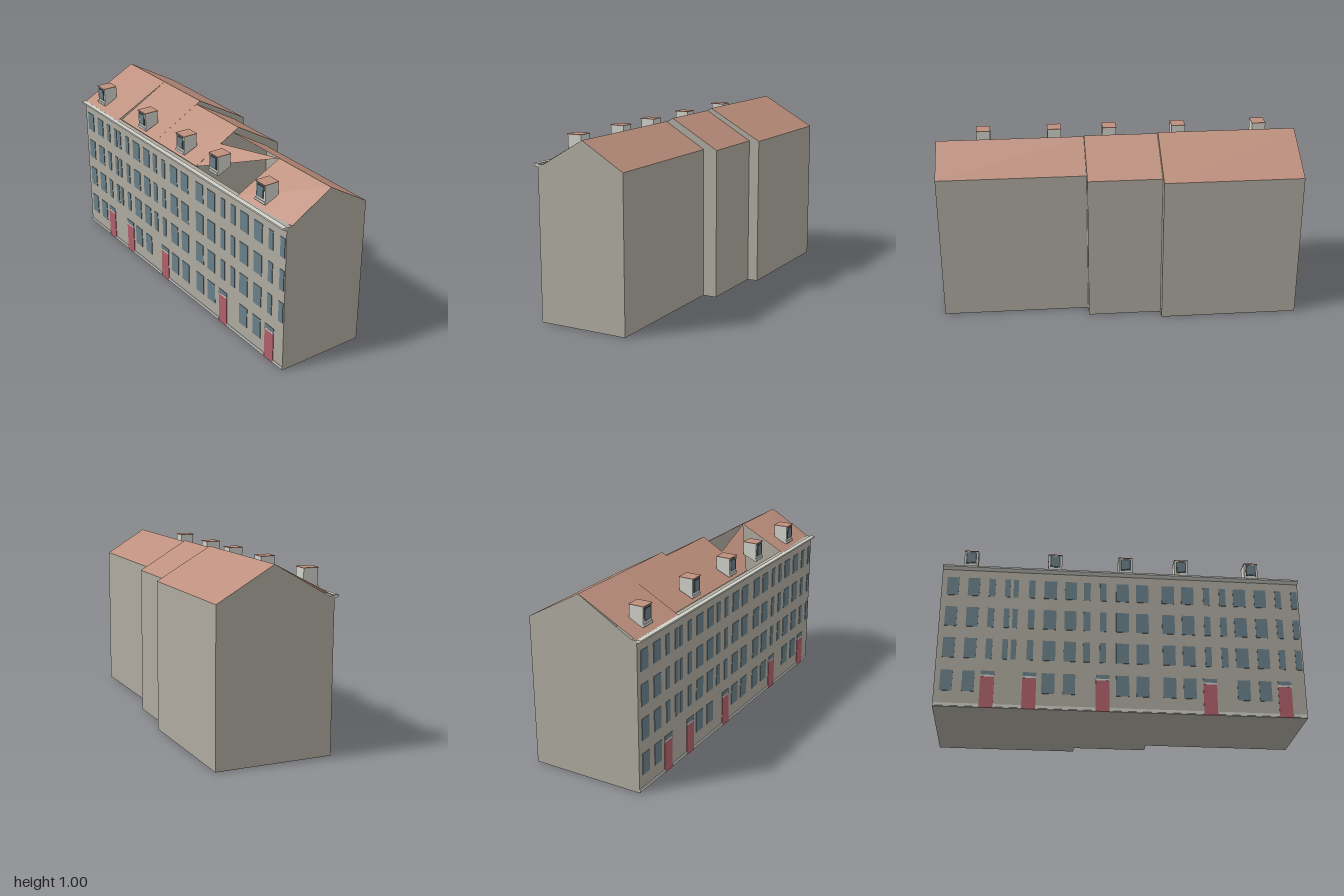
import * as THREE from 'three';

const mat = (name, color) => {
  const m = new THREE.MeshStandardMaterial({ color, side: THREE.DoubleSide });
  m.name = name;
  return m;
};

export function createModel() {
  const wall = mat('stone wall', 0xaeaa9f);
  const roof = mat('clay roof', 0xbd8f7d);
  const glass = mat('window glass', 0x6a8088);
  const red = mat('door red', 0xb0606a);
  const trim = mat('pale trim', 0xd0d0c9);
  const dark = mat('dark frame', 0x4a5052);

  const model = new THREE.Group();
  model.name = 'terraceBlock';
  const EAVE = 0.83, FRONT = 0.31, LIP = 0.28;

  // flat convex polygon from a few corners
  const poly = (name, material, pts, parent = model) => {
    const v = [];
    for (let i = 1; i < pts.length - 1; i++) v.push(...pts[0], ...pts[i], ...pts[i + 1]);
    const g = new THREE.BufferGeometry();
    g.setAttribute('position', new THREE.Float32BufferAttribute(v, 3));
    g.computeVertexNormals();
    const m = new THREE.Mesh(g, material);
    m.name = name;
    parent.add(m);
  };
  // box given by its limits
  const box = (name, material, x0, x1, y0, y1, z0, z1, parent = model) => {
    const m = new THREE.Mesh(new THREE.BoxGeometry(x1 - x0, y1 - y0, z1 - z0), material);
    m.position.set((x0 + x1) / 2, (y0 + y1) / 2, (z0 + z1) / 2);
    m.name = name;
    parent.add(m);
  };

  // three house sections of different depth
  const sections = [
    { x0: -1, x1: -0.23, back: -0.335, rz: -0.025, ry: 1.005 },
    { x0: -0.23, x1: 0.18, back: -0.275, rz: 0, ry: 0.99 },
    { x0: 0.18, x1: 1, back: -0.195, rz: 0.04, ry: 0.97 },
  ];
  sections.forEach(({ x0, x1, back, rz, ry }, i) => {
    const s = new THREE.Group();
    s.name = 'section' + (i + 1);
    model.add(s);
    const gable = x => poly('gableWall', wall, [[x, 0, FRONT], [x, 0, back], [x, EAVE, back],
      [x, ry, rz], [x, EAVE, LIP], [x, EAVE, FRONT]], s);
    if (i === 0) gable(x0);
    gable(x1);
    poly('frontWall', wall, [[x0, 0, FRONT], [x1, 0, FRONT], [x1, EAVE, FRONT], [x0, EAVE, FRONT]], s);
    poly('backWall', wall, [[x1, 0, back], [x0, 0, back], [x0, EAVE, back], [x1, EAVE, back]], s);
    poly('floor', wall, [[x0, 0, back], [x1, 0, back], [x1, 0, FRONT], [x0, 0, FRONT]], s);
    poly('eaveLedge', wall, [[x0, EAVE, FRONT], [x1, EAVE, FRONT], [x1, EAVE, LIP], [x0, EAVE, LIP]], s);
    poly('backRoof', roof, [[x1, EAVE, back], [x0, EAVE, back], [x0, ry, rz], [x1, ry, rz]], s);
  });

  // front roof slopes; z0 and z1 are the eave positions at each end
  const slope = (x0, x1, z0, z1, rz, ry) => poly('frontRoof', roof,
    [[x0, EAVE + 0.002, z0], [x1, EAVE + 0.002, z1], [x1, ry, rz], [x0, ry, rz]]);
  slope(-1, -0.61, 0.305, 0.305, -0.025, 1.005);
  slope(-0.61, -0.23, LIP, LIP, -0.025, 1.005);
  slope(-0.23, 0.18, LIP, LIP, 0, 0.99);
  slope(0.59, 1, 0.305, LIP, 0.04, 0.97);
  // remaining strip of roof across the open bay
  poly('openRoofStrip', roof, [[0.18, EAVE, LIP], [0.59, 0.97, 0.04], [0.18, 0.923, 0.12]]);

  // cornice along the front, tapering below
  const c = [[0.308, 0.815], [0.32, 0.818], [0.335, 0.825], [0.335, 0.834], [0.308, 0.834]];
  for (let i = 0; i < c.length; i++) {
    const [za, ya] = c[i], [zb, yb] = c[(i + 1) % c.length];
    poly('cornice', trim, [[-1, ya, za], [1, ya, za], [1, yb, zb], [-1, yb, zb]]);
  }
  for (const x of [-1, 1]) poly('corniceEnd', trim, c.map(([z, y]) => [x, y, z]));

  // windows: [left, right, also on ground floor]
  const columns = [
    [-0.97, -0.905, 1], [-0.855, -0.79, 1], [-0.74, -0.705], [-0.652, -0.622], [-0.605, -0.577],
    [-0.52, -0.485], [-0.435, -0.365, 1], [-0.32, -0.255, 1], [-0.215, -0.178], [-0.125, -0.09],
    [-0.035, 0.035, 1], [0.075, 0.145, 1], [0.22, 0.29, 1], [0.33, 0.4, 1], [0.455, 0.49],
    [0.545, 0.582], [0.625, 0.695, 1], [0.745, 0.812, 1], [0.865, 0.9], [0.957, 0.992],
  ];
  const rows = [[0.09, 0.208], [0.282, 0.4], [0.47, 0.587], [0.658, 0.768]];
  for (const [x0, x1, ground] of columns)
    rows.forEach(([y0, y1], r) => {
      if (r || ground) box('window', glass, x0, x1, y0, y1, FRONT, FRONT + 0.003);
    });

  // doors with lintel and transom, plinth strips between them
  let edge = -1;
  for (const x of [-0.723, -0.5, -0.108, 0.475, 0.885]) {
    box('door', red, x - 0.037, x + 0.037, 0, 0.177, FRONT, FRONT + 0.003);
    box('doorLintel', trim, x - 0.037, x + 0.037, 0.177, 0.187, FRONT, FRONT + 0.004);
    box('doorTransom', glass, x - 0.037, x + 0.037, 0.187, 0.21, FRONT, FRONT + 0.003);
    box('plinth', trim, edge, x - 0.037, 0.004, 0.02, FRONT, FRONT + 0.004);
    edge = x + 0.037;
  }
  box('plinth', trim, edge, 1, 0.004, 0.02, FRONT, FRONT + 0.004);

  // dormers: sloping underside follows the roof
  for (const x of [-0.85, -0.378, 0.022, 0.34, 0.745]) {
    const d = new THREE.Group();
    d.name = 'dormer';
    d.position.x = x;
    model.add(d);
    const w = 0.039, zf = 0.276, zb = 0.195;
    const side = [[zf, 0.85], [zf, 0.956], [zb, 0.956], [zb, 0.885]];
    for (const s of [-w, w]) poly('dormerSide', trim, side.map(([z, y]) => [s, y, z]), d);
    poly('dormerBack', trim, [[w, 0.885, zb], [-w, 0.885, zb], [-w, 0.956, zb], [w, 0.956, zb]], d);
    poly('dormerFront', trim, [[-w, 0.85, zf], [w, 0.85, zf], [w, 0.956, zf], [-w, 0.956, zf]], d);
    poly('dormerBase', trim, [[-w, 0.85, zf], [w, 0.85, zf], [w, 0.885, zb], [-w, 0.885, zb]], d);
    box('dormerCap', roof, -0.04, 0.04, 0.956, 0.96, 0.193, 0.28, d);
    box('dormerFrame', dark, -0.029, 0.029, 0.88, 0.95, zf, zf + 0.002, d);
    box('dormerGlass', glass, -0.022, 0.022, 0.887, 0.944, zf, zf + 0.004, d);
    box('dormerSill', trim, -0.04, 0.04, 0.855, 0.868, zf, zf + 0.006, d);
  }
  return model;
}
